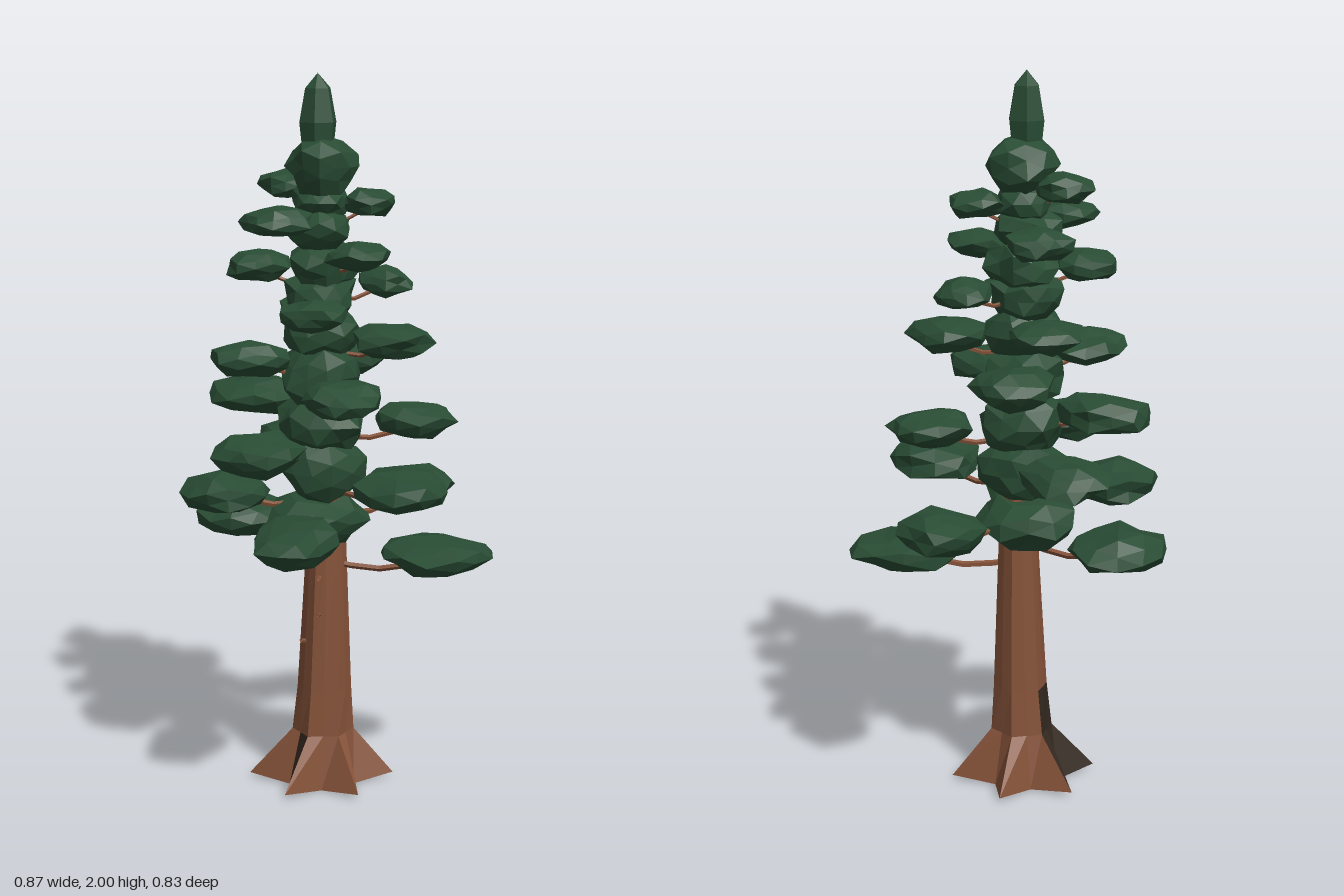
import * as THREE from 'three';

const AX = -0.042, AZ = -0.035; // trunk axis

const bark = new THREE.MeshStandardMaterial({ name: 'bark', color: 0x86533a, side: THREE.DoubleSide });
const scorched = new THREE.MeshStandardMaterial({ name: 'scorchedBark', color: 0x33281f, side: THREE.DoubleSide });
const needles = new THREE.MeshStandardMaterial({ name: 'needles', color: 0x294c34 });

// Repeatable noise from a corner's direction, so shared corners move together
function noise(v, seed) {
  const s = Math.sin(Math.round(v.x * 100) * 12.99 + Math.round(v.y * 100) * 78.23
    + Math.round(v.z * 100) * 37.72 + seed * 9.17) * 43758.5453;
  return s - Math.floor(s);
}

// Faceted foliage blob, roughened and then fitted to its half sizes
function blob(name, x, y, z, rx, ry, rz, seed, turn = 0) {
  const geo = new THREE.IcosahedronGeometry(1, 1);
  const p = geo.attributes.position, v = new THREE.Vector3();
  for (let i = 0; i < p.count; i++) {
    v.fromBufferAttribute(p, i);
    v.multiplyScalar(0.84 + 0.32 * noise(v, seed));
    p.setXYZ(i, v.x, v.y, v.z);
  }
  geo.center();
  geo.boundingBox.getSize(v);
  geo.scale(2 * rx / v.x, 2 * ry / v.y, 2 * rz / v.z);
  geo.computeVertexNormals();
  const mesh = new THREE.Mesh(geo, needles);
  mesh.name = name;
  mesh.position.set(x, y, z);
  mesh.rotation.y = turn;
  return mesh;
}

// Thin bent limb through three points
function limb(name, pts, r) {
  const curve = new THREE.CatmullRomCurve3(pts.map(q => new THREE.Vector3(...q)));
  const geo = new THREE.TubeGeometry(curve, 4, r, 5).toNonIndexed();
  geo.computeVertexNormals();
  const mesh = new THREE.Mesh(geo, bark);
  mesh.name = name;
  return mesh;
}

// Open-based, slightly leaning trunk from 12-sided rings; alternate corners flare into six root tips
function trunk() {
  const rings = [ // height, ridge radius, valley radius, lean
    [0.015, 0.205, 0.105, -0.005], [0.15, 0.087, 0.074, 0], [0.28, 0.076, 0.069, 0.004],
    [0.7, 0.056, 0.052, 0.01], [1.3, 0.034, 0.03, 0], [1.85, 0.012, 0.012, 0],
  ];
  const N = 12;
  const at = (r, i) => {
    const a = THREE.MathUtils.degToRad(50 + 30 * i);
    const [y, ridge, valley, lean] = rings[r];
    const d = i % 2 ? valley : ridge;
    const h = r === 0 && i % 2 ? 0 : y;
    return [AX + lean + d * Math.cos(a), h, AZ + d * Math.sin(a)];
  };
  const plain = [], dark = [];
  for (let i = 0; i < N; i++) {
    for (let r = 0; r < rings.length - 1; r++) {
      // Fire scar on the back left, with one burnt facet further round
      const burnt = (r < 2 && (i === 4 || i === 5)) || (r === 0 && i === 2);
      const p = at(r, i), n = at(r, i + 1), u = at(r + 1, i), un = at(r + 1, i + 1);
      (burnt ? dark : plain).push(...p, ...u, ...n, ...n, ...u, ...un);
    }
  }
  const geo = new THREE.BufferGeometry();
  geo.setAttribute('position', new THREE.Float32BufferAttribute([...plain, ...dark], 3));
  geo.addGroup(0, plain.length / 3, 0);
  geo.addGroup(plain.length / 3, dark.length / 3, 1);
  geo.computeVertexNormals();
  const mesh = new THREE.Mesh(geo, [bark, scorched]);
  mesh.name = 'trunk';
  return mesh;
}

// Boughs: x, y, z, then half length outwards, half height, half width
const BOUGHS = [
  [0.28, 0.68, -0.02, 0.158, 0.056, 0.137],
  [-0.293, 0.735, -0.205, 0.132, 0.06, 0.15],
  [-0.062, 0.772, 0.258, 0.16, 0.06, 0.118],
  [0.183, 0.812, -0.277, 0.112, 0.057, 0.128],
  [-0.305, 0.86, 0.04, 0.127, 0.057, 0.122],
  [0.205, 0.9, 0.13, 0.136, 0.054, 0.125],
  [-0.16, 0.95, -0.27, 0.12, 0.055, 0.11],
  [-0.178, 1.0, 0.188, 0.125, 0.056, 0.122],
  [0.21, 1.045, -0.1, 0.113, 0.053, 0.108],
  [-0.255, 1.1, -0.13, 0.13, 0.053, 0.122],
  [0.05, 1.152, 0.2, 0.13, 0.053, 0.108],
  [-0.005, 1.2, -0.252, 0.128, 0.053, 0.115],
  [-0.225, 1.238, 0.065, 0.107, 0.05, 0.105],
  [0.167, 1.285, -0.005, 0.116, 0.046, 0.105],
  [-0.1, 1.33, -0.235, 0.1, 0.046, 0.1],
  [-0.03, 1.375, 0.17, 0.094, 0.045, 0.09],
  [0.112, 1.43, -0.15, 0.078, 0.044, 0.085],
  [-0.212, 1.482, -0.015, 0.09, 0.044, 0.085],
  [0.085, 1.522, 0.08, 0.092, 0.042, 0.09],
  [-0.08, 1.565, -0.168, 0.092, 0.042, 0.09],
  [-0.145, 1.61, 0.04, 0.103, 0.042, 0.09],
  [0.075, 1.652, -0.062, 0.08, 0.038, 0.078],
  [-0.155, 1.7, -0.09, 0.083, 0.042, 0.078],
];

// Foliage packed round the trunk: height, radius, half height
const CORE = [
  [0.765, 0.14, 0.075], [0.925, 0.118, 0.1], [1.05, 0.12, 0.09], [1.18, 0.108, 0.08],
  [1.3, 0.105, 0.075], [1.4, 0.1, 0.07], [1.48, 0.1, 0.07], [1.575, 0.092, 0.065],
  [1.655, 0.08, 0.06], [1.752, 0.098, 0.083],
];

export function createModel() {
  const tree = new THREE.Group();
  tree.name = 'conifer';
  tree.add(trunk());

  // Boughs, each a limb with a foliage pad turned outwards
  const boughs = new THREE.Group();
  boughs.name = 'boughs';
  BOUGHS.forEach(([x, y, z, len, h, wide], i) => {
    const turn = -Math.atan2(z - AZ, x - AX);
    boughs.add(blob('foliagePad', x, y, z, len, h, wide, i + 1, turn));
    const mx = AX + (x - AX) * 0.5, mz = AZ + (z - AZ) * 0.5;
    boughs.add(limb('branch', [[AX, y - 0.03, AZ], [mx, y - 0.047, mz], [x, y - 0.01, z]],
      0.009 - 0.004 * (y - 0.68)));
  });
  tree.add(boughs);

  // Inner foliage up the trunk
  const core = new THREE.Group();
  core.name = 'innerFoliage';
  CORE.forEach(([y, r, h], i) => core.add(blob('innerClump', AX - 0.005, y, AZ + 0.003, r, h, r, 40 + i, i)));
  tree.add(core);

  // Pointed crown
  const profile = [[0, 1.75], [0.045, 1.8], [0.053, 1.87], [0.036, 1.96], [0, 2]]
    .map(([r, y]) => new THREE.Vector2(r, y));
  const tipGeo = new THREE.LatheGeometry(profile, 6).toNonIndexed();
  tipGeo.computeVertexNormals();
  const tip = new THREE.Mesh(tipGeo, needles);
  tip.name = 'crownTip';
  tip.position.set(-0.052, 0, -0.025);
  tree.add(tip);

  // Dead twigs on the bare trunk
  tree.add(limb('twig', [[AX, 0.51, AZ], [AX, 0.505, 0.02], [AX, 0.51, 0.045]], 0.006));
  tree.add(limb('twig', [[AX, 0.62, AZ], [AX, 0.615, 0.015], [AX, 0.61, 0.035]], 0.006));
  tree.add(limb('twig', [[AX, 0.42, AZ], [-0.085, 0.42, 0.005], [-0.095, 0.425, 0.02]], 0.006));
  return tree;
}
